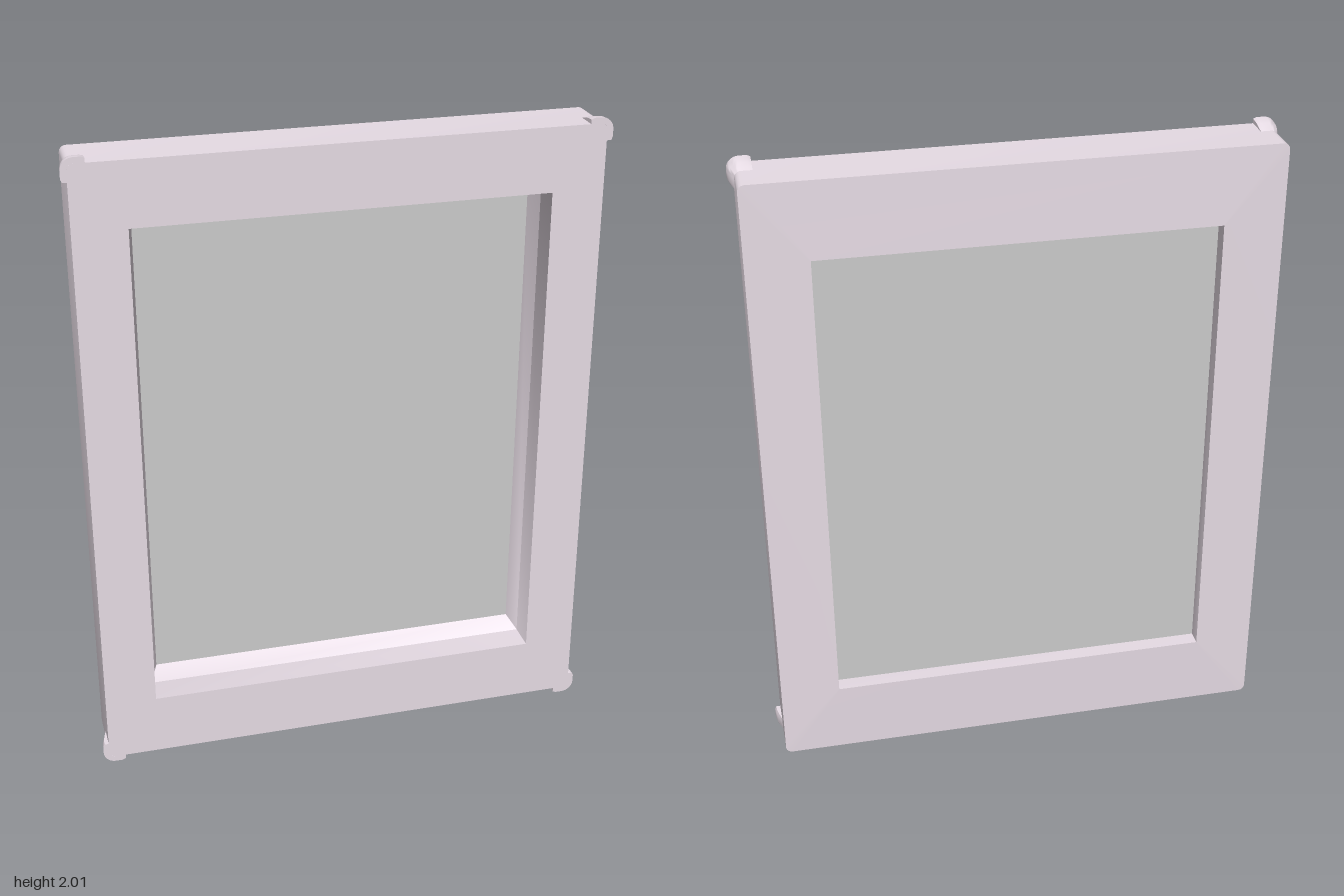
import * as THREE from 'three';
import { toCreasedNormals } from 'three/addons/utils/BufferGeometryUtils.js';

const HX = 0.785, HY = 0.985, FRONT = 0.092, BACK = -0.092, CORNER = 0.02;

// Skins a list of equal-length rings of [x, y, z] points
function loft(rings, closed) {
  const pos = [];
  const n = rings[0].length;
  for (let r = 0; r < rings.length - 1; r++) {
    const a = rings[r], b = rings[r + 1];
    for (let i = 0; i < (closed ? n : n - 1); i++) {
      const j = (i + 1) % n;
      pos.push(...a[i], ...a[j], ...b[j], ...a[i], ...b[j], ...b[i]);
    }
  }
  const geometry = new THREE.BufferGeometry();
  geometry.setAttribute('position', new THREE.Float32BufferAttribute(pos, 3));
  return toCreasedNormals(geometry, 0.6);
}

// Rounded rectangle ring, counter-clockwise from the front
function rectRing([hx, hy, radius, z]) {
  const ring = [];
  for (let c = 0; c < 4; c++) {
    const sx = c === 0 || c === 3 ? 1 : -1, sy = c < 2 ? 1 : -1;
    for (let k = 0; k <= 4; k++) {
      const t = (c + k / 4) * Math.PI / 2;
      ring.push([sx * (hx - radius) + radius * Math.cos(t), sy * (hy - radius) + radius * Math.sin(t), z]);
    }
  }
  return ring;
}

// Flared lip wrapped around one corner, relative to the corner point
function cornerGeometry() {
  const reach = 0.052, path = [];
  const add = (x, y, t, w) => path.push({ x, y, nx: Math.cos(t), ny: Math.sin(t), w });
  add(0, -reach, 0, 0);
  add(0, -reach, 0, 0.75);
  add(0, -reach + 0.01, 0, 1);
  for (let k = 0; k <= 8; k++) {
    const t = k / 8 * Math.PI / 2;
    add(-CORNER + CORNER * Math.cos(t), -CORNER + CORNER * Math.sin(t), t, 1);
  }
  add(-reach + 0.01, 0, Math.PI / 2, 1);
  add(-reach, 0, Math.PI / 2, 0.75);
  add(-reach, 0, Math.PI / 2, 0);
  // [outward offset, z] from the frame side to the front face
  const profile = [[0, 0.02], [0.005, 0.034], [0.012, 0.054], [0.016, 0.07], [0.018, FRONT], [0, FRONT]];
  return loft(profile.map(([d, z]) => path.map(p => [p.x + p.nx * d * p.w, p.y + p.ny * d * p.w, z])), false);
}

export function createModel() {
  const group = new THREE.Group();
  const frameMaterial = new THREE.MeshStandardMaterial({ color: 0xe7dce5, side: THREE.DoubleSide });
  const panelMaterial = new THREE.MeshStandardMaterial({ color: 0xcccccc, side: THREE.DoubleSide });

  // Frame: front face, straight reveal, bevel, rear recess, back face, outer sides
  const frameRings = [
    [HX, HY, CORNER, FRONT],
    [0.625, 0.787, 0.001, FRONT],
    [0.625, 0.787, 0.001, 0],
    [0.6, 0.75, 0.001, -0.045],
    [0.6, 0.75, 0.001, BACK - 0.002],
    [HX, HY, CORNER, BACK + 0.004],
    [HX, HY, CORNER, FRONT],
  ].map(rectRing);
  const frame = new THREE.Mesh(loft(frameRings, true), frameMaterial);
  frame.name = 'frame';
  frame.position.y = 1;
  group.add(frame);

  // Thin panel at the bottom of the bevel
  const panel = new THREE.Mesh(new THREE.PlaneGeometry(1.2, 1.5), panelMaterial);
  panel.name = 'panel';
  panel.position.set(0, 1, -0.045);
  group.add(panel);

  // Four flared corner lips
  const lip = cornerGeometry();
  const corners = [['topLeft', 1, 1], ['topRight', -1, 1], ['bottomRight', -1, -1], ['bottomLeft', 1, -1]];
  corners.forEach(([name, sx, sy], i) => {
    const mesh = new THREE.Mesh(lip, frameMaterial);
    mesh.name = name + 'CornerLip';
    mesh.position.set(sx * HX, 1 + sy * HY, 0);
    mesh.rotation.z = i * Math.PI / 2;
    group.add(mesh);
  });
  return group;
}
